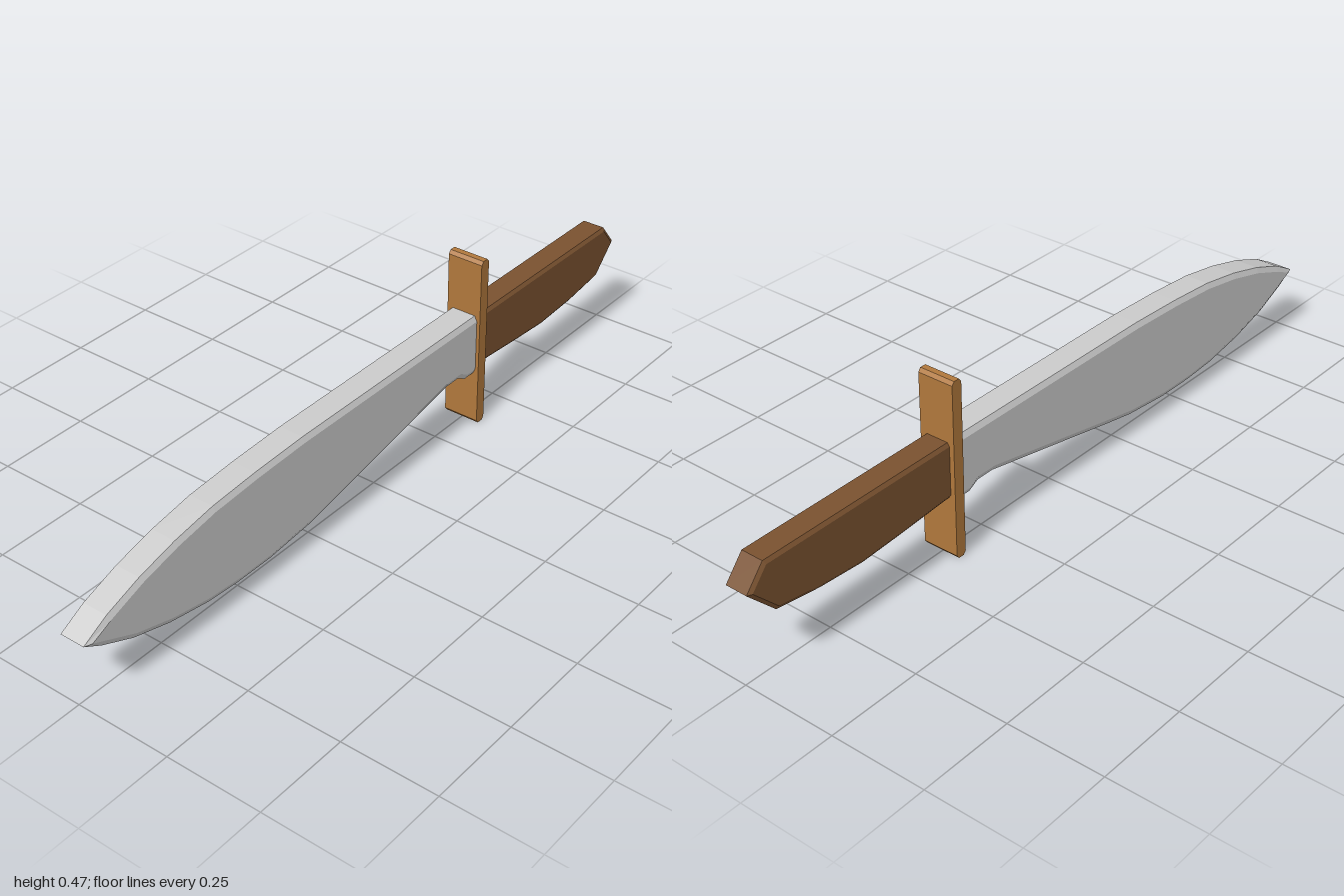
import * as THREE from 'three';

// Extrudes a side outline of [z, y] points across x, chamfering the edges inside the outline.
function slab(name, points, halfWidth, chamferIn, chamferX, color) {
  const shape = new THREE.Shape(points.map(([z, y]) => new THREE.Vector2(z, y)));
  const depth = 2 * (halfWidth - chamferX);
  const geometry = new THREE.ExtrudeGeometry(shape, {
    depth,
    bevelEnabled: chamferIn > 0,
    bevelSegments: 1,
    bevelSize: chamferIn,
    bevelOffset: -chamferIn,
    bevelThickness: chamferX,
  });
  geometry.translate(0, 0, -depth / 2);
  geometry.rotateY(-Math.PI / 2);
  const mesh = new THREE.Mesh(geometry, new THREE.MeshStandardMaterial({ color, flatShading: true }));
  mesh.name = name;
  return mesh;
}

export function createModel() {
  const group = new THREE.Group();
  group.name = 'knife';

  // Leaf-shaped blade: belly from the heel to the tip, then back along the spine
  const blade = [
    [-0.375, 0.147], [-0.325, 0.147], [-0.295, 0.163], [-0.245, 0.163],
    [0.2, 0.075], [0.28, 0.06], [0.42, 0.047], [0.53, 0.047], [0.63, 0.054],
    [0.75, 0.075], [0.86, 0.106], [0.95, 0.146], [1, 0.175],
    [0.93, 0.213], [0.83, 0.249], [0.72, 0.277], [0.6, 0.297],
    [0.46, 0.307], [0.3, 0.313], [-0.375, 0.313],
  ];
  group.add(slab('blade', blade, 0.04, 0.014, 0.007, 0xcccccc));

  // Flat crossguard with clipped ends
  const guard = [
    [-0.383, 0], [-0.367, 0], [-0.36, 0.009], [-0.36, 0.459],
    [-0.367, 0.468], [-0.383, 0.468], [-0.39, 0.459], [-0.39, 0.009],
  ];
  group.add(slab('crossguard', guard, 0.049, 0, 0, 0xb0783c));

  // Grip with a swelling underside and a pointed pommel
  const grip = [
    [-1, 0.245], [-0.925, 0.168], [-0.8, 0.151], [-0.67, 0.143],
    [-0.55, 0.15], [-0.372, 0.163], [-0.372, 0.308], [-0.95, 0.305],
  ];
  group.add(slab('grip', grip, 0.036, 0.009, 0.006, 0x7a5230));

  return group;
}
